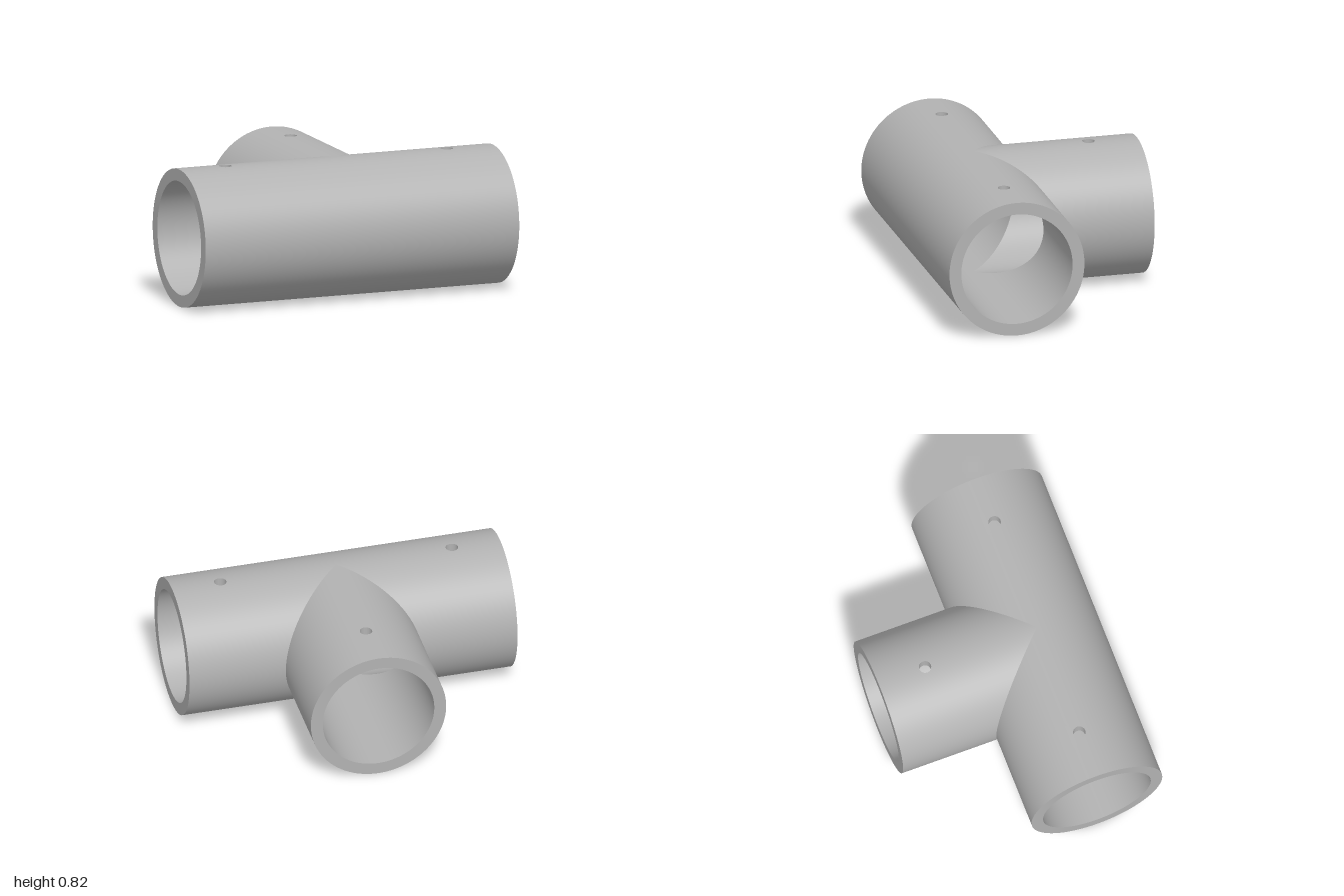
import * as THREE from 'three';

const OUTER = 0.4125, INNER = 0.34, LENGTH = 1; // pipe radii and arm length
const HOLE = 0.037, HOLE_AT = 0.706, PATCH = 0.08; // screw hole and the patch around it
const SEG = 96, K = 3; // sides of the pipe, half-width of the patch in sides
const STEP = (Math.PI * 2) / SEG;
const CENTRE = new THREE.Vector3(0, OUTER, 0.2935);
const UP = new THREE.Vector3(0, 1, 0);

// Collects quads of [position, normal] corners, each wound to agree with its normals.
class Skin {
  pos = [];
  nor = [];
  tri(...c) {
    const [a, b, d] = c.map((v) => v[0]);
    const face = b.clone().sub(a).cross(d.clone().sub(a));
    if (face.lengthSq() < 1e-16) return;
    if (face.dot(c[0][1].clone().add(c[1][1]).add(c[2][1])) < 0) c.reverse();
    for (const [p, n] of c) {
      this.pos.push(p.x, p.y, p.z);
      this.nor.push(n.x, n.y, n.z);
    }
  }
  quad(a, b, c, d) {
    this.tri(a, b, c);
    this.tri(a, c, d);
  }
  mesh(name, material) {
    const g = new THREE.BufferGeometry();
    g.setAttribute('position', new THREE.Float32BufferAttribute(this.pos, 3));
    g.setAttribute('normal', new THREE.Float32BufferAttribute(this.nor, 3));
    const m = new THREE.Mesh(g, material);
    m.name = name;
    return m;
  }
}

// One arm along dir; mitre(offset) gives where its wall starts at a sideways offset.
function createArm(name, dir, side, mitre, material) {
  const arm = new THREE.Group();
  arm.name = name;

  const radial = (a) => side.clone().multiplyScalar(Math.sin(a)).addScaledVector(UP, Math.cos(a));
  const point = (r, a, t) => CENTRE.clone().addScaledVector(dir, t).addScaledVector(radial(a), r);

  // Points around the screw hole and the square patch that surrounds it
  const square = [];
  for (let s = 0; s < 4; s++) {
    for (let i = -K; i < K; i++) {
      const [u, v] = [[i, -K], [K, i], [-i, K], [-K, -i]][s];
      square.push([u / K, v / K]);
    }
  }
  const circle = square.map(([u, v]) => {
    const l = Math.hypot(u, v);
    return [(u / l) * HOLE, (v / l) * HOLE];
  });

  // Cylindrical wall, with a hole in its top
  function wall(label, r, sign) {
    const skin = new Skin();
    const at = (a, t) => [point(r, a, t), radial(a).multiplyScalar(sign)];
    const strip = (a, b, a0, b0, a1, b1) => skin.quad(at(a, a0), at(b, b0), at(b, b1), at(a, a1));
    const start = (a) => mitre(r * Math.sin(a));
    for (let i = -SEG / 2; i < SEG / 2; i++) {
      const a = i * STEP, b = (i + 1) * STEP;
      if (i >= -K && i < K) {
        strip(a, b, start(a), start(b), HOLE_AT - PATCH, HOLE_AT - PATCH);
        strip(a, b, HOLE_AT + PATCH, HOLE_AT + PATCH, LENGTH, LENGTH);
      } else {
        strip(a, b, start(a), start(b), LENGTH, LENGTH);
      }
    }
    // blend from the hole's rim out to the patch border
    const rings = 3;
    const blend = (i, f) => {
      const n = i % square.length;
      const inA = Math.asin(circle[n][0] / r), inT = circle[n][1];
      return at(
        THREE.MathUtils.lerp(inA, square[n][0] * K * STEP, f),
        HOLE_AT + THREE.MathUtils.lerp(inT, square[n][1] * PATCH, f)
      );
    };
    for (let i = 0; i < square.length; i++) {
      for (let j = 0; j < rings; j++) {
        const f = j / rings, g = (j + 1) / rings;
        skin.quad(blend(i, f), blend(i + 1, f), blend(i + 1, g), blend(i, g));
      }
    }
    arm.add(skin.mesh(label, material));
  }
  wall('outerWall', OUTER, 1);
  wall('bore', INNER, -1);

  // Flat ring at the open end
  const rim = new Skin();
  for (let i = 0; i < SEG; i++) {
    const a = i * STEP, b = a + STEP;
    const at = (r, q) => [point(r, q, LENGTH), dir];
    rim.quad(at(INNER, a), at(INNER, b), at(OUTER, b), at(OUTER, a));
  }
  arm.add(rim.mesh('endRim', material));

  // Inside of the screw hole
  const hole = new Skin();
  const onHole = (r, i) => {
    const [u, v] = circle[i % circle.length];
    const normal = side.clone().multiplyScalar(-u).addScaledVector(dir, -v).normalize();
    return [point(r, Math.asin(u / r), HOLE_AT + v), normal];
  };
  for (let i = 0; i < circle.length; i++) {
    hole.quad(onHole(INNER, i), onHole(INNER, i + 1), onHole(OUTER, i + 1), onHole(OUTER, i));
  }
  arm.add(hole.mesh('screwHole', material));
  return arm;
}

export function createModel() {
  const model = new THREE.Group();
  model.name = 'pipeTee';
  const grey = new THREE.MeshStandardMaterial({ color: 0xb2b2b2 });
  grey.name = 'grey';

  const x = new THREE.Vector3(1, 0, 0);
  const back = new THREE.Vector3(0, 0, -1);
  const halfMitre = (w) => Math.max(0, w); // only the branch side is cut
  model.add(createArm('leftArm', x, back, halfMitre, grey));
  model.add(createArm('rightArm', x.clone().negate(), back, halfMitre, grey));
  model.add(createArm('branchArm', back, x, Math.abs, grey));
  return model;
}
